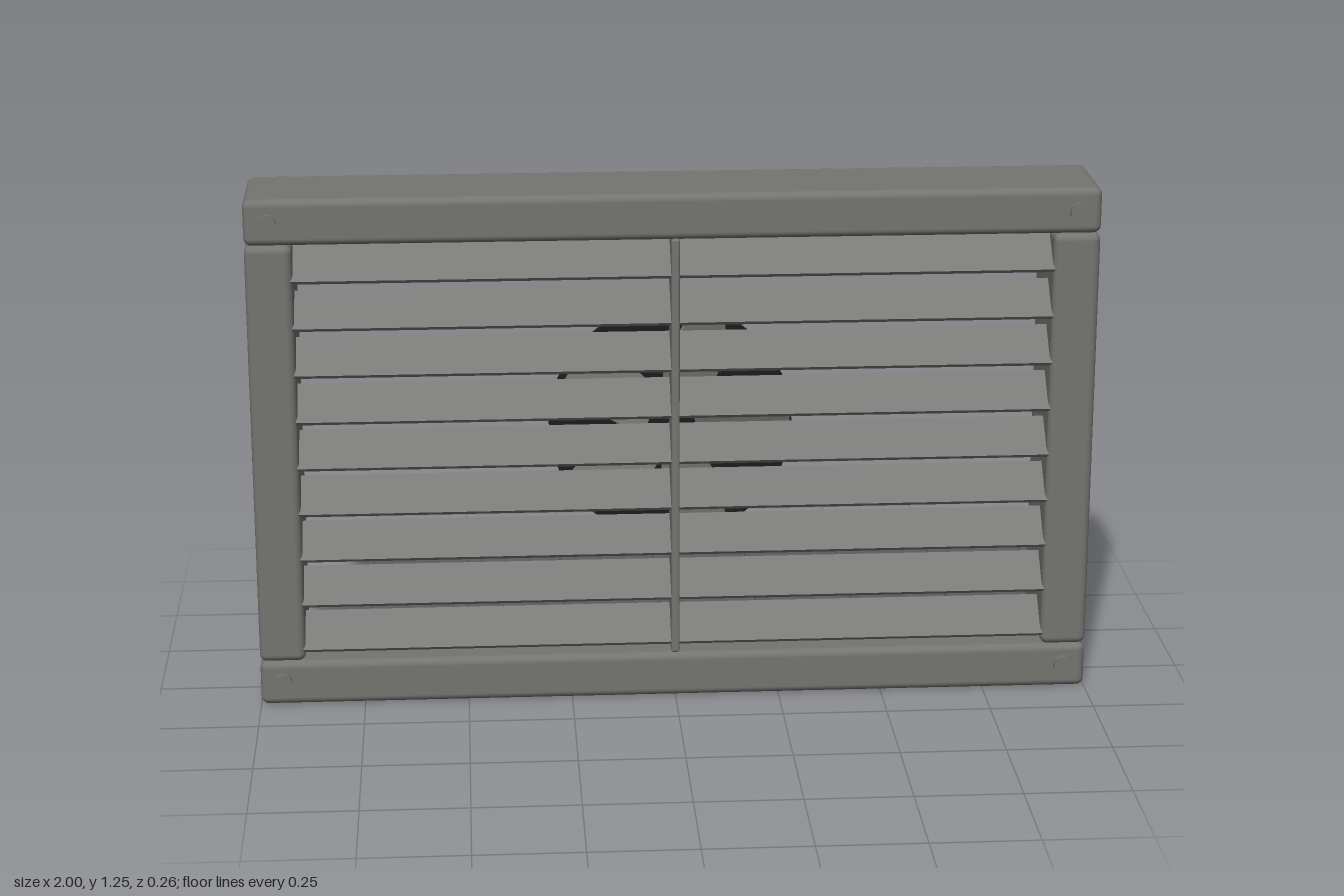
import * as THREE from 'three';
import { RoundedBoxGeometry } from 'three/addons/geometries/RoundedBoxGeometry.js';

export function createModel() {
  const model = new THREE.Group();
  const mat = (name, color) => {
    const m = new THREE.MeshStandardMaterial({ color });
    m.name = name;
    return m;
  };
  const frameGrey = mat('frame grey', 0x747471);
  const slatGrey = mat('slat grey', 0x7a7a79);
  const black = mat('fan black', 0x1c1c1c);

  const add = (name, geometry, material, x, y, z, parent = model) => {
    const mesh = new THREE.Mesh(geometry, material);
    mesh.name = name;
    mesh.position.set(x, y, z);
    parent.add(mesh);
    return mesh;
  };

  // Frame: full-width rails with two posts between them
  const frameZ = -0.005, depth = 0.25;
  const rail = new RoundedBoxGeometry(2, 0.11, depth, 3, 0.018);
  const post = new RoundedBoxGeometry(0.11, 1.03, depth, 3, 0.018);
  add('bottomRail', rail, frameGrey, 0, 0.055, frameZ);
  add('topRail', rail, frameGrey, 0, 1.195, frameZ);
  add('leftPost', post, frameGrey, 0.945, 0.625, frameZ);
  add('rightPost', post, frameGrey, -0.945, 0.625, frameZ);

  // Screw heads at the four corners
  const screw = new THREE.CylinderGeometry(0.022, 0.022, 0.03, 16).rotateX(Math.PI / 2);
  for (const x of [-0.945, 0.945])
    for (const y of [0.06, 1.195]) add('screwHead', screw, frameGrey, x, y, 0.118);

  // Louvre slats, front edge low and back edge high
  const slat = new THREE.BoxGeometry(1.79, 0.012, 0.105);
  for (let i = 0; i < 9; i++) {
    add('slat', slat, slatGrey, 0, 0.172 + i * 0.1144, 0.075).rotation.x = Math.PI / 4;
  }

  // Upright divider through the slats
  add('divider', new RoundedBoxGeometry(0.02, 1.03, 0.1, 2, 0.006), frameGrey, 0, 0.627, 0.07);

  // Fan: back disc, hub and five blades
  const fan = new THREE.Group();
  fan.name = 'fan';
  fan.position.set(0, 0.632, 0);
  model.add(fan);
  const disc = (r, h) => new THREE.CylinderGeometry(r, r, h, 32).rotateX(Math.PI / 2);
  add('backDisc', disc(0.295, 0.024), black, 0, 0, -0.09, fan);
  add('hub', disc(0.06, 0.09), black, 0, 0, -0.045, fan);

  const outline = new THREE.Shape();
  outline.moveTo(0.03, -0.03);
  outline.quadraticCurveTo(0.16, -0.1, 0.285, -0.045);
  outline.lineTo(0.285, 0.045);
  outline.quadraticCurveTo(0.16, 0.1, 0.03, 0.03);
  outline.closePath();
  const blade = new THREE.ExtrudeGeometry(outline, { depth: 0.01, bevelEnabled: false, curveSegments: 8 });
  blade.translate(0, 0, -0.005).rotateX(0.3);
  for (let i = 0; i < 5; i++) {
    add('blade', blade, frameGrey, 0, 0, -0.04, fan).rotation.z = (i * 2 * Math.PI) / 5;
  }

  return model;
}
